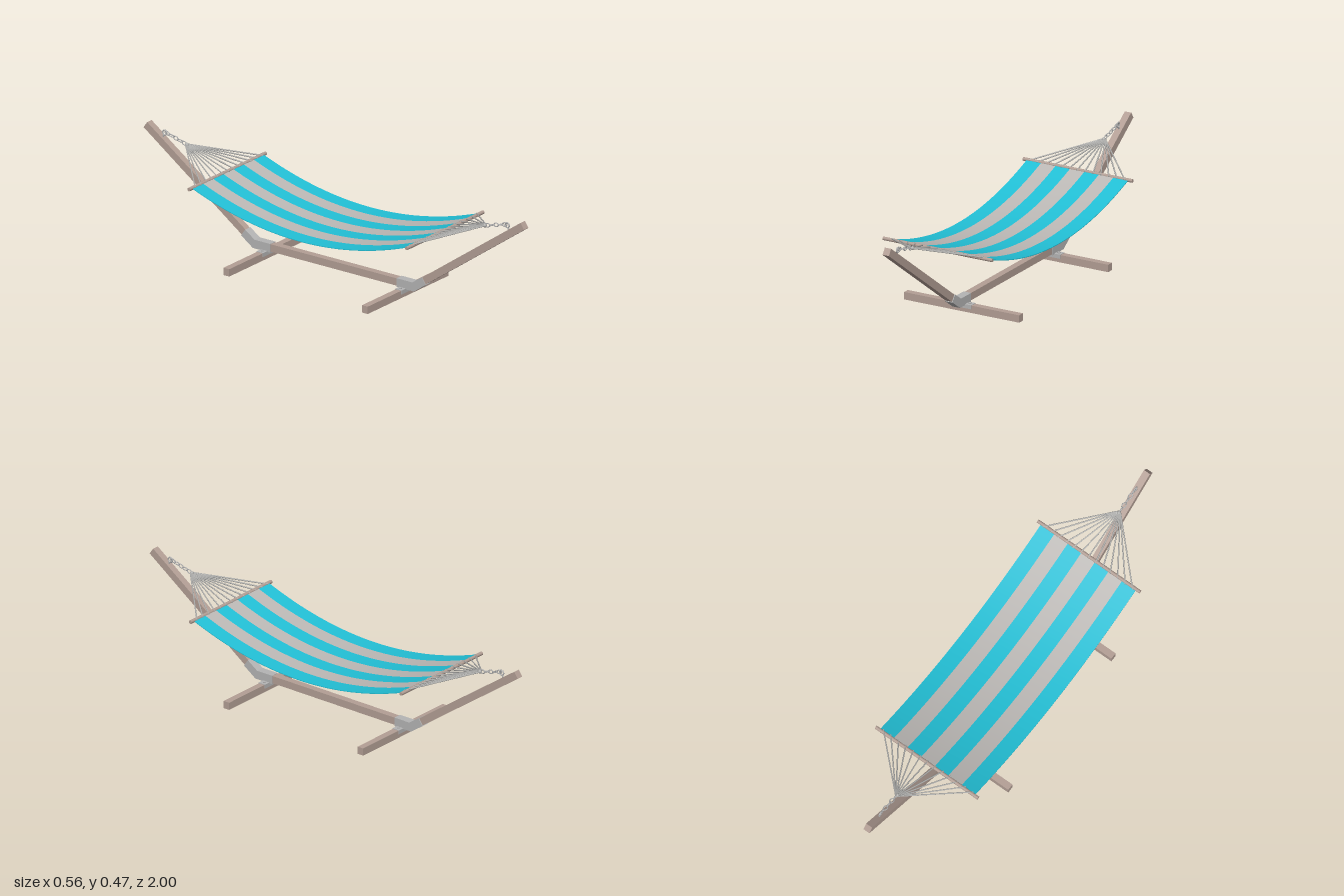
import * as THREE from 'three';

const mat = (name, color) => {
  const m = new THREE.MeshStandardMaterial({ color });
  m.name = name;
  return m;
};

export function createModel() {
  const wood = mat('wood', 0xb39f95);
  const metal = mat('metal', 0xb4b4b4);
  const rope = mat('rope', 0xb0b0ae);
  const cyan = mat('cyan cloth', 0x22c0d6);
  const pale = mat('pale cloth', 0xbcb9b6);

  const root = new THREE.Group();
  root.name = 'hammock';

  const add = (parent, name, geo, m, x = 0, y = 0, z = 0) => {
    const mesh = new THREE.Mesh(geo, m);
    mesh.name = name;
    mesh.position.set(x, y, z);
    parent.add(mesh);
    return mesh;
  };

  // Side outline of [z, y] points, extruded across x and centred
  const sidePlate = (points, width) => {
    const shape = new THREE.Shape(points.map(([z, y]) => new THREE.Vector2(z, y)));
    return new THREE.ExtrudeGeometry(shape, { depth: width, bevelEnabled: false })
      .translate(0, 0, -width / 2).rotateY(-Math.PI / 2);
  };

  // Round rod between two points
  const rod = (parent, name, a, b, r, m, sides = 8) => {
    const dir = b.clone().sub(a);
    const mesh = add(parent, name, new THREE.CylinderGeometry(r, r, dir.length(), sides), m);
    mesh.position.copy(a).add(b).multiplyScalar(0.5);
    mesh.quaternion.setFromUnitVectors(new THREE.Vector3(0, 1, 0), dir.normalize());
    return mesh;
  };
  const V = (x, y, z) => new THREE.Vector3(x, y, z);

  // Base beam
  add(root, 'baseBeam', new THREE.BoxGeometry(0.031, 0.033, 0.8), wood, 0, 0.0515, 0);

  // Sagging cloth: a thin body with stripes laid on top
  const sag = (z) => 0.2275 + 0.331 * z * z;
  const bend = (geo) => {
    const p = geo.attributes.position;
    for (let i = 0; i < p.count; i++) p.setY(i, p.getY(i) + sag(p.getZ(i)));
    geo.computeVertexNormals();
    return geo;
  };
  const clothWidth = 0.494, clothLength = 1.136, stripes = 7;
  add(root, 'clothBody', bend(new THREE.BoxGeometry(clothWidth, 0.003, clothLength, 1, 1, 40)), cyan);
  const stripeWidth = clothWidth / stripes;
  for (let i = 0; i < stripes; i++) {
    const geo = new THREE.PlaneGeometry(stripeWidth, clothLength, 1, 40).rotateX(-Math.PI / 2);
    add(root, 'clothStripe', bend(geo), i % 2 ? pale : cyan, (i - 3) * stripeWidth, 0.0022, 0);
  }

  // One end of the stand and its suspension, turned around for the other end
  const buildEnd = (name) => {
    const end = new THREE.Group();
    end.name = name;
    root.add(end);

    // Sloping arm
    add(end, 'arm', sidePlate([[0.425, 0.035], [1.0, 0.44], [0.981, 0.467], [0.406, 0.062]], 0.031), wood);

    // Elbow bracket sleeve
    add(end, 'elbowBracket', sidePlate([
      [0.332, 0.031], [0.423, 0.031], [0.485, 0.074], [0.464, 0.104], [0.414, 0.07], [0.332, 0.07],
    ], 0.037), metal);

    // Cross foot with saddle and bolts
    add(end, 'foot', new THREE.BoxGeometry(0.562, 0.033, 0.03), wood, 0, 0.0165, 0.364);
    add(end, 'saddle', new THREE.BoxGeometry(0.096, 0.018, 0.035), metal, 0, 0.026, 0.364);
    for (const s of [-1, 1]) {
      add(end, 'bolt', new THREE.CylinderGeometry(0.006, 0.006, 0.004, 6), metal, s * 0.032, 0.037, 0.364);
    }

    // Spreader bar
    rod(end, 'spreaderBar', V(-0.267, 0.335, 0.572), V(0.267, 0.335, 0.572), 0.0078, wood, 12);

    // Fan of ropes gathered at the apex
    for (let i = -6; i <= 6; i++) {
      rod(end, 'fanRope', V(i * 0.0392, 0.337, 0.562), V(i * 0.0012, 0.406, 0.785), 0.0031, rope, 6);
    }
    add(end, 'ropeKnot', new THREE.SphereGeometry(0.009, 12, 8), rope, 0, 0.406, 0.783);

    // Chain of alternating links
    const links = 5, slope = Math.atan2(0.026, 0.1);
    for (let i = 0; i < links; i++) {
      const t = i / (links - 1);
      const geo = new THREE.TorusGeometry(0.008, 0.0023, 6, 14).rotateY(Math.PI / 2).scale(1, 1, 1.5);
      if (i % 2) geo.rotateZ(Math.PI / 2);
      const link = add(end, 'chainLink', geo, metal, 0, 0.41 + 0.024 * t, 0.797 + 0.09 * t);
      link.rotation.x = -slope;
    }

    // Eye bolt on the arm
    add(end, 'eyeRing', new THREE.TorusGeometry(0.011, 0.003, 8, 18).rotateY(Math.PI / 2), metal, 0, 0.434, 0.9);
    rod(end, 'eyeShank', V(0, 0.398, 0.912), V(0, 0.425, 0.905), 0.0035, metal);
    return end;
  };

  buildEnd('frontEnd');
  buildEnd('backEnd').rotation.y = Math.PI;

  return root;
}
